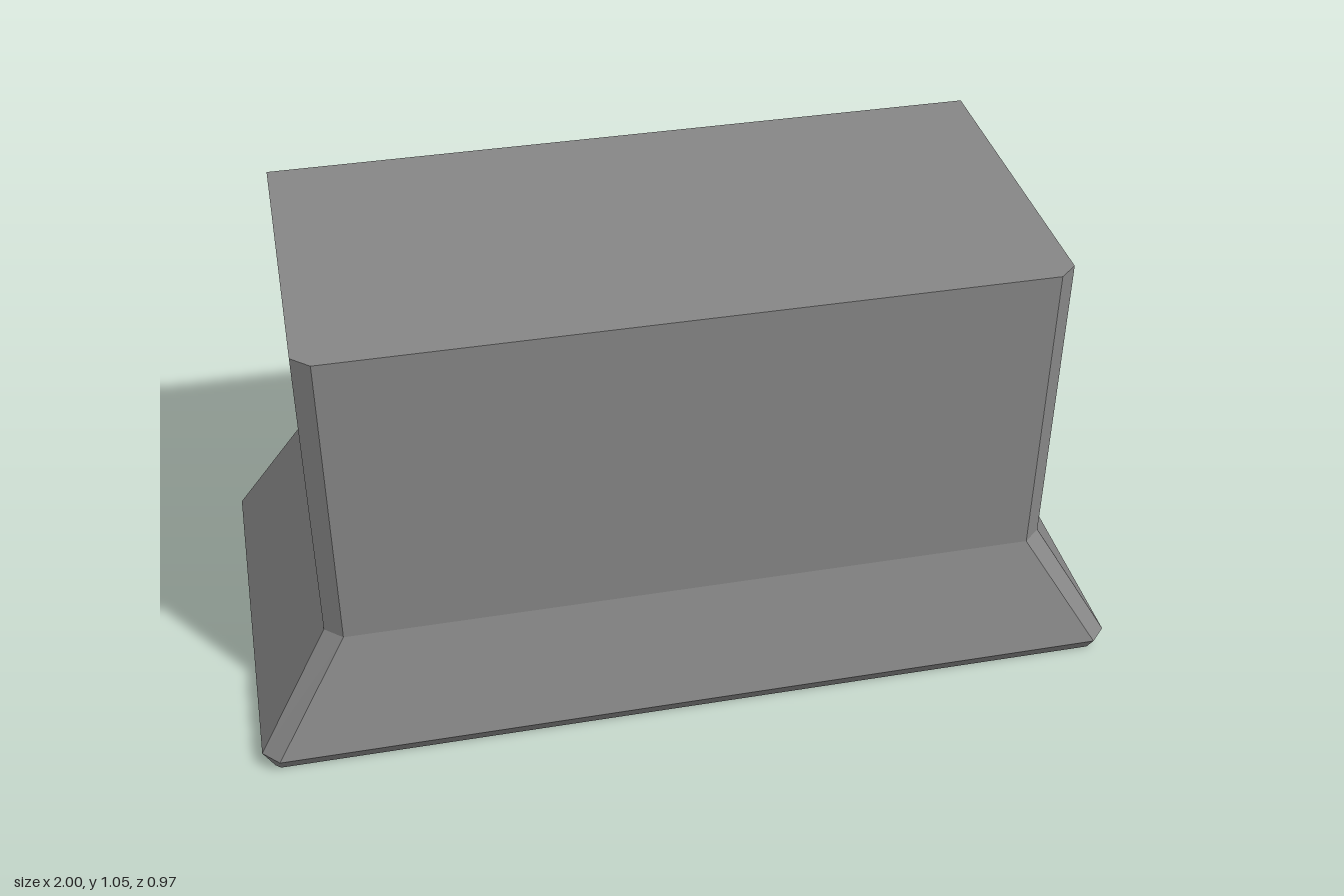
import * as THREE from 'three';

// Horizontal section: back corners square, front corners chamfered
const section = (y, x, back, front, cx, cz) => [
  [-x, y, back], [-x, y, front - cz], [-x + cx, y, front],
  [x - cx, y, front], [x, y, front - cz], [x, y, back],
];

// Joins sections from bottom to top with flat faces and closes both ends
function loft(sections) {
  const pos = [];
  const tri = (a, b, c) => pos.push(...a, ...b, ...c);
  const n = sections[0].length;
  for (let s = 0; s < sections.length - 1; s++) {
    const lo = sections[s], hi = sections[s + 1];
    for (let i = 0; i < n; i++) {
      const j = (i + 1) % n;
      tri(lo[i], lo[j], hi[j]);
      tri(lo[i], hi[j], hi[i]);
    }
  }
  const bottom = sections[0], top = sections[sections.length - 1];
  for (let i = 1; i < n - 1; i++) {
    tri(bottom[0], bottom[i + 1], bottom[i]);
    tri(top[0], top[i], top[i + 1]);
  }
  const g = new THREE.BufferGeometry();
  g.setAttribute('position', new THREE.Float32BufferAttribute(pos, 3));
  g.computeVertexNormals();
  return g;
}

export function createModel() {
  const group = new THREE.Group();
  group.name = 'flaredBlock';
  const grey = new THREE.MeshStandardMaterial({ color: 0x868686 });
  grey.name = 'grey';

  // Upright block on a flared skirt with an undercut bottom edge
  const block = new THREE.Mesh(loft([
    section(0, 0.975, -0.485, 0.455, 0.012, 0.01),
    section(0.045, 1.0, -0.47, 0.485, 0.037, 0.038),
    section(0.325, 0.83, -0.38, 0.41, 0.04, 0.035),
    section(1.055, 0.83, -0.38, 0.41, 0.04, 0.035),
  ]), grey);
  block.name = 'block';
  group.add(block);
  return group;
}
